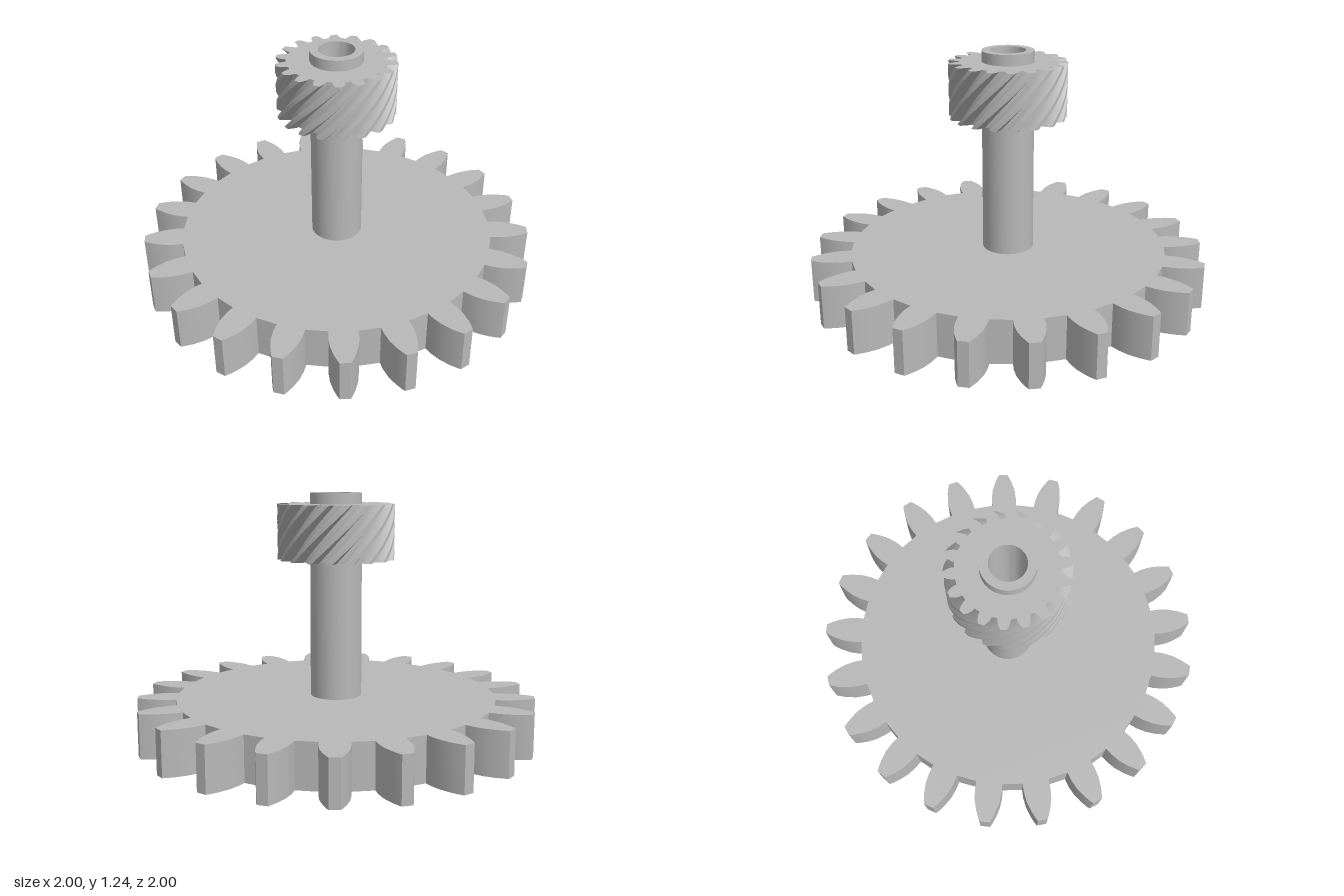
import * as THREE from 'three';
import { toCreasedNormals } from 'three/addons/utils/BufferGeometryUtils.js';

const rad = THREE.MathUtils.degToRad;

// Gear outline: flank is a list of [radius, half tooth angle in degrees], root to tip
function gearShape(teeth, phase, flank, holeRadius) {
  const points = [];
  const add = (r, deg) => points.push(new THREE.Vector2(r * Math.cos(rad(deg)), r * Math.sin(rad(deg))));
  for (let i = 0; i < teeth; i++) {
    const mid = phase + (i * 360) / teeth;
    for (const [r, half] of flank) add(r, mid - half);
    for (const [r, half] of [...flank].reverse()) add(r, mid + half);
  }
  const shape = new THREE.Shape(points);
  shape.holes.push(new THREE.Path().absarc(0, 0, holeRadius, 0, Math.PI * 2, true));
  return shape;
}

// Extrude upward from y = bottom, turning the section by twist towards the top
function gearGeometry(shape, bottom, height, steps, twist) {
  const geometry = new THREE.ExtrudeGeometry(shape, { depth: height, steps, bevelEnabled: false, curveSegments: 32 });
  const pos = geometry.attributes.position;
  for (let i = 0; i < pos.count; i++) {
    const a = twist * (pos.getZ(i) / height - 1);
    const x = pos.getX(i), y = pos.getY(i);
    pos.setXY(i, x * Math.cos(a) - y * Math.sin(a), x * Math.sin(a) + y * Math.cos(a));
  }
  geometry.rotateX(-Math.PI / 2);
  geometry.translate(0, bottom, 0);
  return toCreasedNormals(geometry, 0.3);
}

export function createModel() {
  const group = new THREE.Group();
  group.name = 'compoundGear';
  const grey = new THREE.MeshStandardMaterial({ color: 0xb8b8b8 });
  grey.name = 'grey';
  const add = (name, geometry) => {
    const mesh = new THREE.Mesh(geometry, grey);
    mesh.name = name;
    group.add(mesh);
  };
  const bore = 0.088;

  // Large spur gear with 21 teeth
  const spurFlank = [[0.805, 4.85], [0.85, 4.7], [0.9, 4.1], [0.95, 3.0], [0.985, 2.0], [1.002, 1.45]];
  add('spurGear', gearGeometry(gearShape(21, -1.6, spurFlank, bore), 0, 0.22, 1, 0));

  // Hollow shaft
  const profile = [[0.129, 0.215], [0.129, 1.24], [bore, 1.24], [bore, 0.215]].map(p => new THREE.Vector2(...p));
  add('shaft', toCreasedNormals(new THREE.LatheGeometry(profile, 64), 0.5));

  // Helical pinion with 18 teeth
  const pinionFlank = [[0.24, 6.9], [0.255, 6.5], [0.275, 4.7], [0.291, 2.6]];
  add('helicalPinion', gearGeometry(gearShape(18, 10, pinionFlank, 0.115), 0.912, 0.274, 20, 1.0));

  group.position.set(-0.002, 0, -0.002);
  return group;
}
